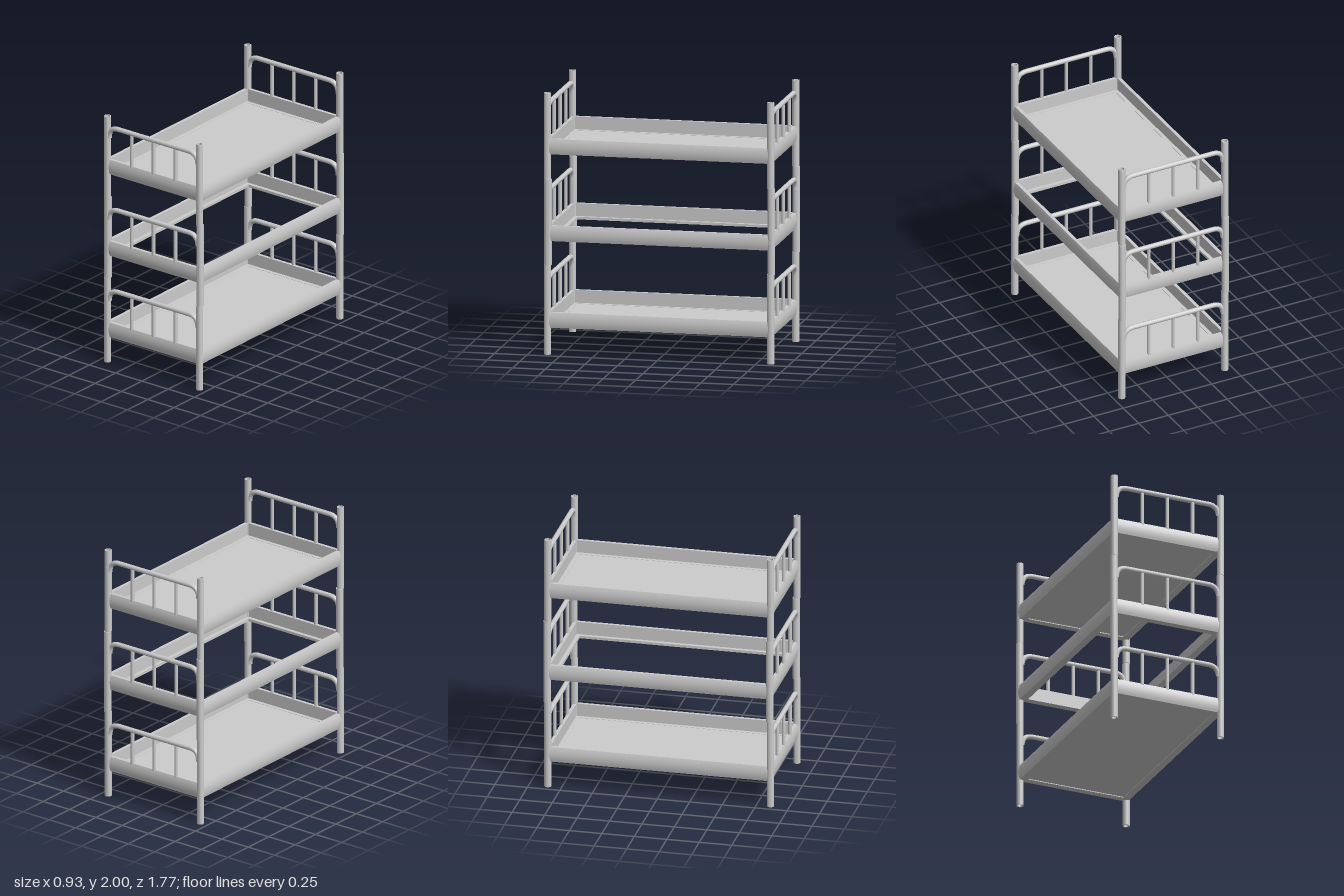
import * as THREE from 'three';
import { toCreasedNormals, mergeVertices } from 'three/addons/utils/BufferGeometryUtils.js';

const POST_X = 0.437, POST_Z = 0.857, TIER = 0.6635;
const metal = new THREE.MeshStandardMaterial({ color: 0xcccccc });

function add(parent, name, geometry, x = 0, y = 0, z = 0, turn = 0) {
  const mesh = new THREE.Mesh(geometry, metal);
  mesh.name = name;
  mesh.position.set(x, y, z);
  mesh.rotation.y = turn;
  parent.add(mesh);
  return mesh;
}

// Hollow upright tube with open ends
function tubePost(radius, height) {
  const inner = radius * 0.72;
  const profile = [[inner, 0], [radius, 0], [radius, height], [inner, height], [inner, 0]]
    .map(([r, y]) => new THREE.Vector2(r, y));
  return toCreasedNormals(new THREE.LatheGeometry(profile, 20), 0.6);
}

// Rail with a bowed outer face (+x) and an inward ledge at its foot, running along z
function railGeometry(length) {
  const s = new THREE.Shape();
  s.moveTo(-0.05, 0);
  s.lineTo(0.006, 0);
  s.quadraticCurveTo(0.026, 0.059, 0.006, 0.118);
  s.lineTo(-0.02, 0.118);
  s.lineTo(-0.02, 0.02);
  s.lineTo(-0.05, 0.02);
  s.closePath();
  const g = new THREE.ExtrudeGeometry(s, { depth: length, bevelEnabled: false, curveSegments: 8 });
  g.translate(0, 0, -length / 2);
  return toCreasedNormals(g, 0.5);
}

// Bent tube of the head and foot ends, with rounded upper corners
function hoopGeometry() {
  const w = 0.42, top = 0.588, r = 0.085, foot = 0.5;
  const path = new THREE.CurvePath();
  const v = (x, y) => new THREE.Vector3(x, y, 0);
  path.add(new THREE.QuadraticBezierCurve3(v(-w, foot), v(-w, top), v(-w + r, top)));
  path.add(new THREE.LineCurve3(v(-w + r, top), v(w - r, top)));
  path.add(new THREE.QuadraticBezierCurve3(v(w - r, top), v(w, top), v(w, foot)));
  return new THREE.TubeGeometry(path, 72, 0.019, 14, false);
}

export function createModel() {
  const model = new THREE.Group();
  model.name = 'tripleBunkBed';

  const sideRail = railGeometry(1.69);
  const endRail = railGeometry(0.85);
  const hoop = hoopGeometry();
  const bar = new THREE.CylinderGeometry(0.014, 0.014, 0.27, 12);
  const base = new THREE.BoxGeometry(0.85, 0.012, 1.69);

  // Post sections stacked per tier; the middle ones sit slightly out of line
  const sections = [
    { from: 0, to: 0.685, radius: 0.027, shift: 0 },
    { from: 0.685, to: 1.34, radius: 0.0285, shift: -0.005 },
    { from: 1.34, to: 2, radius: 0.027, shift: 0 },
  ];

  sections.forEach((section, i) => {
    const bunk = new THREE.Group();
    bunk.name = ['lowerBunk', 'middleBunk', 'upperBunk'][i];
    model.add(bunk);
    const y = i * TIER;
    const post = tubePost(section.radius, section.to - section.from);

    for (const side of [-1, 1]) {
      const turn = side > 0 ? 0 : Math.PI;
      add(bunk, side > 0 ? 'leftRail' : 'rightRail', sideRail, side * 0.443, y + 0.205, 0, turn);

      // Head or foot end: rail, hoop and three uprights
      const end = new THREE.Group();
      end.name = side > 0 ? 'frontEnd' : 'backEnd';
      end.position.set(0, y, side * POST_Z);
      bunk.add(end);
      add(end, 'endRail', endRail, 0, 0.205, 0, -side * Math.PI / 2);
      add(end, 'hoop', hoop);
      for (const x of [-0.207, 0, 0.207]) add(end, 'upright', bar, x, 0.448, 0);

      for (const x of [-POST_X, POST_X]) {
        add(bunk, 'post', post, x, section.from, side * POST_Z + section.shift);
      }
    }

    // The middle frame is open; the others carry a sheet base
    if (i !== 1) add(bunk, 'bedBase', base, 0, y + 0.217, 0);
  });

  return model;
}
